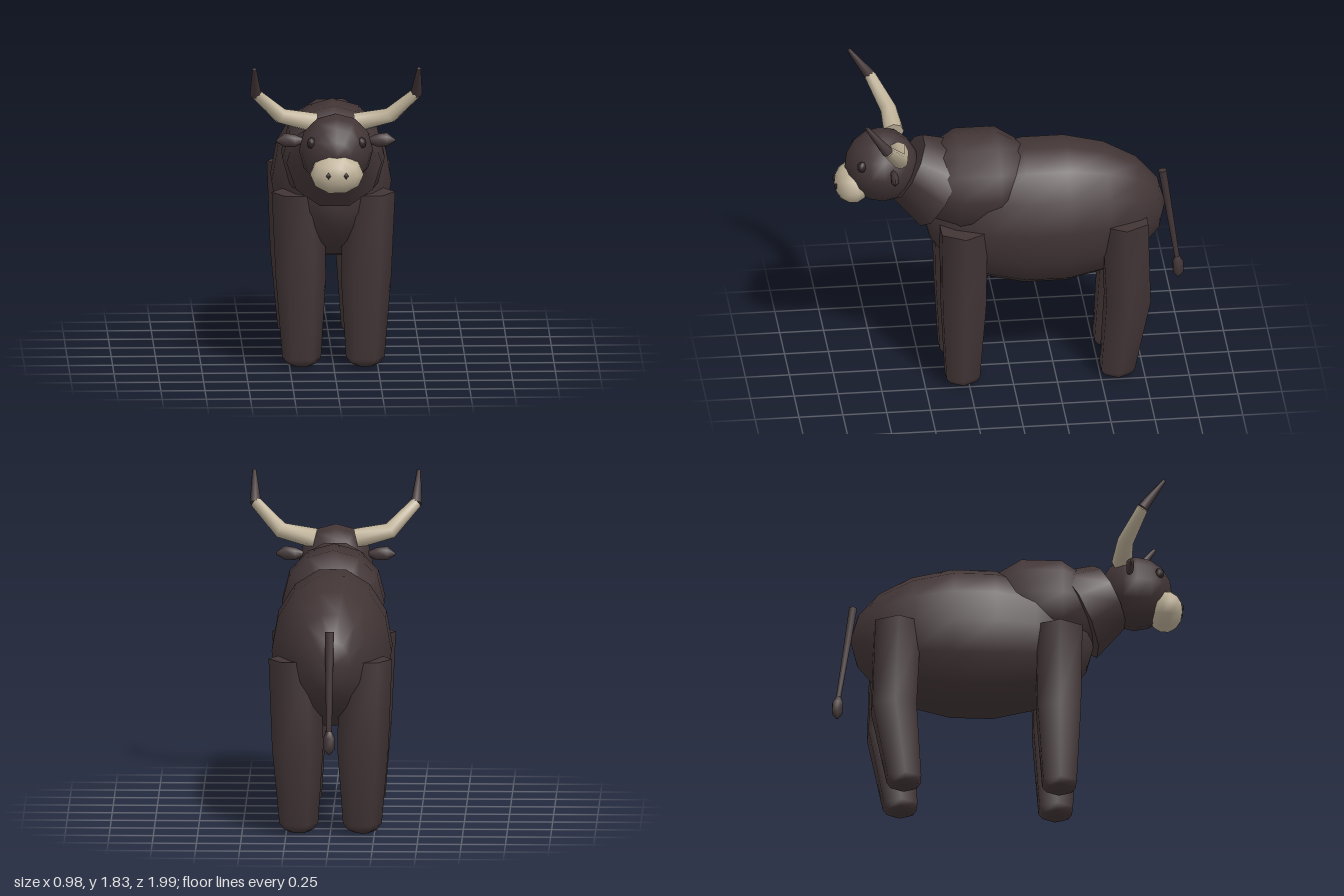
import * as THREE from 'three';

const hide = new THREE.MeshStandardMaterial({ color: 0x423536 });
hide.name = 'dark hide';
const cream = new THREE.MeshStandardMaterial({ color: 0xbfb299 });
cream.name = 'cream horn';
const dark = new THREE.MeshStandardMaterial({ color: 0x2e2426 });
dark.name = 'eye dark';

const UP = new THREE.Vector3(0, 1, 0);

function add(parent, name, geometry, material) {
  const mesh = new THREE.Mesh(geometry, material);
  mesh.name = name;
  parent.add(mesh);
  return mesh;
}

// Ellipsoid whose poles lie along z
function ball(center, radii, around, along) {
  return new THREE.SphereGeometry(1, around, along)
    .rotateX(Math.PI / 2)
    .scale(...radii)
    .translate(...center);
}

// Smooth skin over rings [x, y, z, radius], with flat caps at both ends
function loft(rings, sides, fixedDir) {
  const centers = rings.map(([x, y, z]) => new THREE.Vector3(x, y, z));
  const pos = [];
  const index = [];
  const rows = rings.map(([, , , r], i) => {
    const dir = fixedDir ?? centers[Math.min(i + 1, rings.length - 1)].clone()
      .sub(centers[Math.max(i - 1, 0)]).normalize();
    const q = new THREE.Quaternion().setFromUnitVectors(UP, dir);
    return Array.from({ length: sides }, (_, j) => {
      const a = (j / sides) * Math.PI * 2;
      return new THREE.Vector3(Math.cos(a) * r, 0, Math.sin(a) * r).applyQuaternion(q).add(centers[i]);
    });
  });
  rows.forEach((row) => row.forEach((p) => pos.push(p.x, p.y, p.z)));
  for (let i = 0; i < rows.length - 1; i++) {
    for (let j = 0; j < sides; j++) {
      const a = i * sides + j;
      const b = i * sides + ((j + 1) % sides);
      index.push(a, a + sides, b, b, a + sides, b + sides);
    }
  }
  for (const end of [0, rows.length - 1]) {
    const start = pos.length / 3;
    [centers[end], ...rows[end]].forEach((p) => pos.push(p.x, p.y, p.z));
    for (let j = 0; j < sides; j++) {
      const a = start + 1 + j;
      const b = start + 1 + ((j + 1) % sides);
      index.push(start, end ? b : a, end ? a : b);
    }
  }
  const g = new THREE.BufferGeometry();
  g.setAttribute('position', new THREE.Float32BufferAttribute(pos, 3));
  g.setIndex(index);
  g.computeVertexNormals();
  return g;
}

export function createModel() {
  const bull = new THREE.Group();
  bull.name = 'bull';

  // Trunk, shoulder hump and neck
  add(bull, 'body', ball([0, 0.99, -0.2], [0.345, 0.445, 0.69], 14, 9), hide);
  add(bull, 'shoulderHump', ball([0, 1.2, 0.185], [0.305, 0.315, 0.37], 12, 5), hide);
  add(bull, 'neck', loft([
    [0, 1.19, 0.39, 0.27],
    [0, 1.305, 0.575, 0.2],
  ], 10, new THREE.Vector3(0, 0.48, 0.88).normalize()), hide);

  // Head
  add(bull, 'head', ball([0, 1.33, 0.725], [0.21, 0.21, 0.21], 12, 8), hide);
  add(bull, 'muzzle', ball([0, 1.225, 0.895], [0.155, 0.115, 0.1], 10, 7), cream);

  for (const s of [1, -1]) {
    const side = s > 0 ? 'left' : 'right';
    const flip = (rings) => rings.map(([x, y, z, r]) => [s * x, y, z, r]);

    // Face details
    add(bull, side + 'Nostril', ball([s * 0.05, 1.23, 0.982], [0.016, 0.022, 0.018], 4, 4), dark);
    add(bull, side + 'Eye', ball([s * 0.142, 1.395, 0.852], [0.027, 0.034, 0.027], 8, 6), dark);
    add(bull, side + 'Ear', loft(flip([
      [0.18, 1.375, 0.68, 0.012],
      [0.23, 1.375, 0.68, 0.036],
      [0.29, 1.38, 0.68, 0.04],
      [0.338, 1.375, 0.68, 0.006],
    ]), 6).translate(0, 0, -0.68).scale(1, 1, 0.6).translate(0, 0, 0.68), hide);

    // Horn with a dark tip
    add(bull, side + 'Horn', loft(flip([
      [0.115, 1.47, 0.642, 0.057],
      [0.31, 1.515, 0.652, 0.046],
      [0.455, 1.66, 0.742, 0.032],
    ]), 8), cream);
    add(bull, side + 'HornTip', loft(flip([
      [0.455, 1.655, 0.738, 0.033],
      [0.466, 1.825, 0.862, 0.011],
    ]), 8), hide);

    // Legs with rounded feet
    add(bull, side + 'FrontLeg', loft(flip([
      [0.18, 0, 0.285, 0.055],
      [0.18, 0.015, 0.285, 0.085],
      [0.18, 0.05, 0.285, 0.11],
      [0.185, 0.5, 0.28, 0.142],
      [0.2, 1, 0.28, 0.15],
    ]), 6, UP), hide);
    add(bull, side + 'HindLeg', loft(flip([
      [0.18, 0, -0.597, 0.055],
      [0.18, 0.015, -0.597, 0.085],
      [0.18, 0.05, -0.597, 0.11],
      [0.185, 0.49, -0.655, 0.145],
      [0.2, 1, -0.635, 0.15],
    ]), 6, UP), hide);
  }

  // Tail with a tuft at the end
  add(bull, 'tail', loft([
    [0, 0.62, -0.96, 0.016],
    [0, 1.195, -0.875, 0.026],
  ], 6), hide);
  add(bull, 'tailTuft', loft([
    [0, 0.505, -0.965, 0.006],
    [0, 0.54, -0.965, 0.034],
    [0, 0.6, -0.963, 0.034],
    [0, 0.64, -0.957, 0.015],
  ], 6), hide);

  return bull;
}
